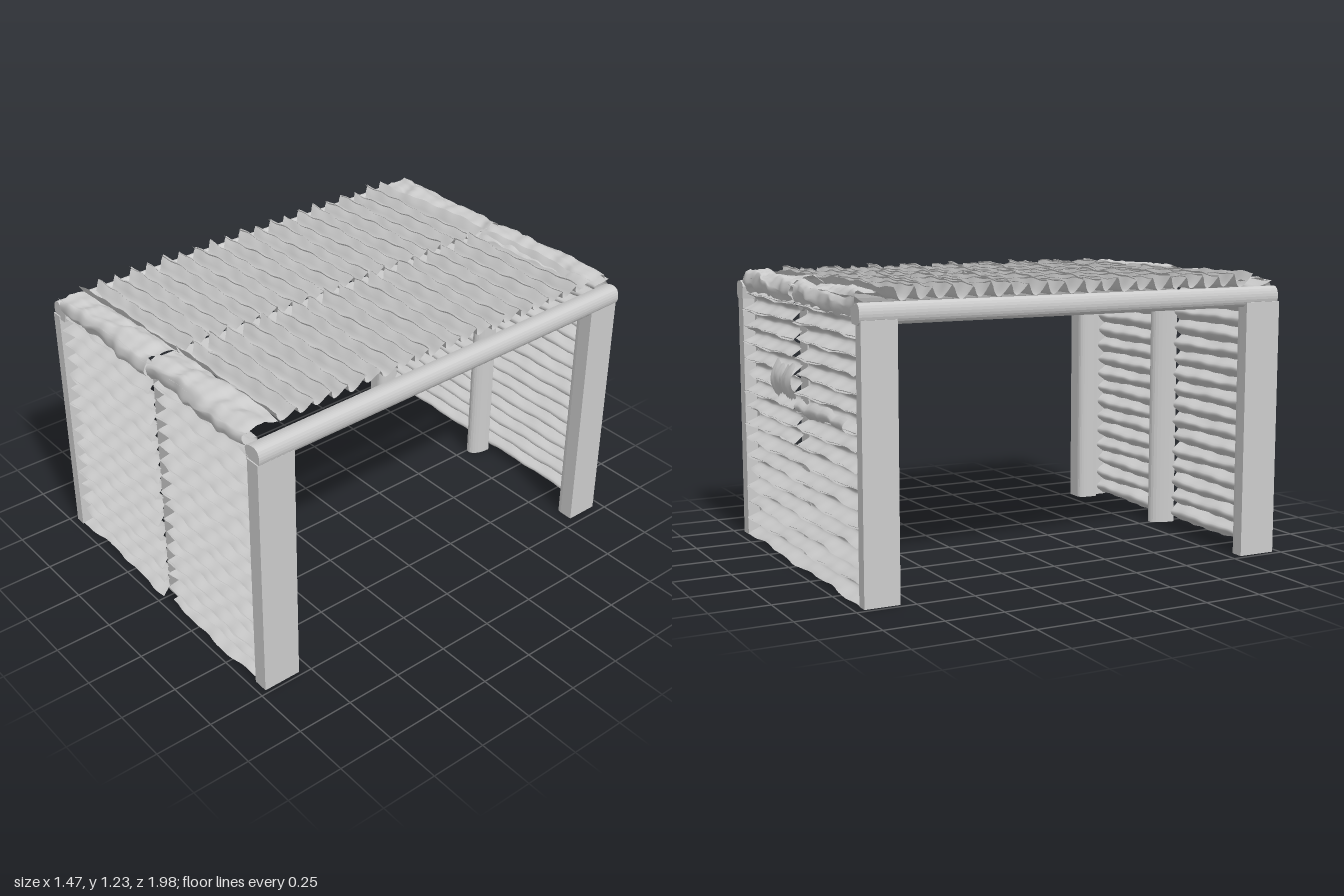
import * as THREE from 'three';

const material = new THREE.MeshStandardMaterial({ color: 0xcccccc, side: THREE.DoubleSide });

// Smooth repeatable wobble in roughly -1..1
const wobble = (u, k) =>
  0.5 * Math.sin(u * 9 + k * 2.7) + 0.3 * Math.sin(u * 23 + k * 5.1) + 0.2 * Math.sin(u * 51 + k * 1.9);

// Grid surface from a function of (a, t), both 0..1
function sheet(fn, na, nt) {
  const pos = [], index = [];
  for (let j = 0; j <= nt; j++) {
    for (let i = 0; i <= na; i++) pos.push(...fn(i / na, j / nt));
  }
  for (let j = 0; j < nt; j++) {
    for (let i = 0; i < na; i++) {
      const p = j * (na + 1) + i, q = p + na + 1;
      index.push(p, p + 1, q, p + 1, q + 1, q);
    }
  }
  const g = new THREE.BufferGeometry();
  g.setAttribute('position', new THREE.Float32BufferAttribute(pos, 3));
  g.setIndex(index);
  g.computeVertexNormals();
  return g;
}

function add(parent, name, geometry) {
  const mesh = new THREE.Mesh(geometry, material);
  mesh.name = name;
  parent.add(mesh);
}

// Panel of hollow slats: scooped troughs meeting in ragged outward ridges
function slatPanel(name, o) {
  const panel = new THREE.Group();
  panel.name = name;
  for (let r = 0; r < o.rows; r++) {
    const k = r + o.seed;
    add(panel, 'slat', sheet((a, t) => {
      const scoop = Math.sin(Math.PI * t ** o.skew);
      const e0 = o.u0 + 0.026 * scoop + 0.008 * wobble(r, o.seed);
      const e1 = o.u1 - 0.026 * scoop + 0.008 * wobble(r, o.seed + 4);
      const u = e0 + (e1 - e0) * a;
      let v = o.v0 + (r + t) * o.pitch + o.tilt * u;
      v += 0.008 * ((1 - t) * wobble(u, k) + t * wobble(u, k + 1));
      // the upper lip hangs a little over the next slat
      if (t === 1) v += 0.006 + 0.006 * wobble(u, k + 9);
      const rag = (1 - t) * wobble(u, k + 3) + t * wobble(u, k + 4);
      const w = (o.depth + 0.012 * rag) * (1 - scoop) + 0.004 * wobble(u, k) * scoop;
      return o.place(u, v, w);
    }, 40, 10));
  }
  return panel;
}

// Corner post: a rounded inner log with a flange reaching past the slats
function cornerPost(sx, sz, inner, out) {
  const back = sz > 0 ? 0.8 : 0.81, face = sz > 0 ? 0.97 : 0.96;
  const X = (x) => x * sx, Y = (z) => -z * sz;
  const s = new THREE.Shape();
  s.moveTo(X(out), Y(face));
  s.lineTo(X(out), Y(back));
  s.lineTo(X(inner), Y(back));
  s.bezierCurveTo(X(inner - 0.03), Y(back), X(inner - 0.04), Y(back + 0.03), X(inner - 0.035), Y(back + 0.095));
  s.lineTo(X(inner), Y(back + 0.095));
  s.lineTo(X(inner), Y(face));
  s.closePath();
  const g = new THREE.ExtrudeGeometry(s, { depth: 1.1, bevelEnabled: false, curveSegments: 8 });
  return g.rotateX(-Math.PI / 2);
}

// Side beam: rounded outer rail with a narrow ledge, slightly skewed along its length
function sideBeam(sx, skew) {
  const inner = sx > 0 ? 0.65 : 0.68;
  const s = new THREE.Shape();
  s.moveTo(sx * 0.65, 1.085);
  s.lineTo(sx * 0.705, 1.08);
  s.bezierCurveTo(sx * 0.73, 1.09, sx * 0.735, 1.13, sx * 0.718, 1.155);
  s.quadraticCurveTo(sx * 0.695, 1.175, sx * inner, 1.155);
  s.lineTo(sx * 0.64, 1.14);
  s.closePath();
  const g = new THREE.ExtrudeGeometry(s, { depth: 1.93, bevelEnabled: false, curveSegments: 8 });
  g.translate(0, 0, -0.965);
  return g.applyMatrix4(new THREE.Matrix4().set(1, 0, skew, 0, 0, 1, 0, 0, 0, 0, 1, 0, 0, 0, 0, 1));
}

// Half-round log standing along y, round side toward -z
function halfLog(length, width, depth) {
  const s = new THREE.Shape();
  s.moveTo(-width / 2, 0);
  s.bezierCurveTo(-width / 2, depth * 1.3, width / 2, depth * 1.3, width / 2, 0);
  s.closePath();
  const g = new THREE.ExtrudeGeometry(s, { depth: length, bevelEnabled: false, curveSegments: 14 });
  return g.rotateX(-Math.PI / 2);
}

// Rough curled bark slab over each end of the roof
function eave(u0, u1, sz, seed) {
  const curve = new THREE.CatmullRomCurve3([
    [0.81, 1.18], [0.86, 1.195], [0.92, 1.2], [0.96, 1.185], [0.972, 1.145], [0.95, 1.105],
  ].map(([z, y]) => new THREE.Vector3(0, y, z)));
  return sheet((a, t) => {
    const c = curve.getPoint(t);
    const u = u0 + (u1 - u0) * a + 0.012 * wobble(t, seed + 2);
    const lift = 0.012 * wobble(u, seed + t * 2) + 0.01 * wobble(u * 1.5 + t * 2, seed + 1);
    return [u, c.y + lift + (u > 0 ? 0.012 : 0), sz * (c.z + 0.018 * wobble(u, seed + 6 + t))];
  }, 48, 16);
}

export function createModel() {
  const model = new THREE.Group();
  model.name = 'shelter';

  // Frame
  const frame = new THREE.Group();
  frame.name = 'frame';
  model.add(frame);
  add(frame, 'leftFrontPost', cornerPost(1, 1, 0.667, 0.733));
  add(frame, 'leftBackPost', cornerPost(1, -1, 0.65, 0.712));
  add(frame, 'rightFrontPost', cornerPost(-1, 1, 0.68, 0.727));
  add(frame, 'rightBackPost', cornerPost(-1, -1, 0.68, 0.73));
  add(frame, 'leftBeam', sideBeam(1, 0.01));
  add(frame, 'rightBeam', sideBeam(-1, 0.004));
  add(frame, 'frontMiddlePost', halfLog(1.11, 0.1, 0.11).translate(0.015, 0, 0.92));
  add(frame, 'backMiddlePost', halfLog(1.11, 0.09, 0.095).rotateY(Math.PI).translate(0.015, 0, -0.908));
  add(frame, 'roofMiddleBeam',
    halfLog(1.84, 0.1, 0.095).rotateX(-Math.PI / 2).translate(0.01, 1.17, 0.92));

  // Walls and roof in halves; the lower back wall runs the full width
  const wall = { v0: 0.005, pitch: 0.0735, depth: 0.055, tilt: 0, skew: 1.3 };
  const front = (u, v, w) => [u, Math.max(v, 0), 0.906 + w];
  const back = (u, v, w) => [u, Math.max(v, 0), -0.904 - w];
  model.add(slatPanel('lowerBackWall', { ...wall, u0: -0.675, u1: 0.655, rows: 7, seed: 60, place: back }));
  const halves = [
    { label: 'right', u0: -0.675, u1: -0.008, roof: { u0: -0.67, u1: 0.005, tilt: 0.05 }, seed: 0 },
    { label: 'left', u0: 0.035, u1: 0.67, roof: { u0: 0.005, u1: 0.653, tilt: 0.025 }, seed: 31 },
  ];
  for (const { label, u0, u1, roof, seed } of halves) {
    model.add(slatPanel(label + 'FrontWall', { ...wall, u0, u1, rows: 16, seed, place: front }));
    model.add(slatPanel(label + 'UpperBackWall', {
      ...wall, u0: Math.min(u0, 0.012), u1: Math.min(u1, 0.655), v0: wall.v0 + 7 * wall.pitch,
      rows: 9, seed: seed + 67, place: back,
    }));
    model.add(slatPanel(label + 'Roof', {
      ...roof, rows: 20, v0: -0.83, pitch: 0.083, depth: 0.057, skew: 1, seed: seed + 90,
      place: (u, v, w) => [u, 1.162 + w, -v],
    }));
    for (const sz of [-1, 1]) {
      add(model, label + (sz > 0 ? 'FrontEave' : 'BackEave'),
        eave(u0 > 0 ? 0.01 : -0.655, u0 > 0 ? 0.65 : -0.015, sz, seed + sz * 3));
    }
  }

  // Torn bark hanging off the back wall: x, y, length, height
  const tears = [[0.11, 0.78, 0.22, 0.13], [-0.32, 0.69, 0.55, 0.06]];
  tears.forEach(([x, y, length, height], i) => {
    add(model, 'tornBark', sheet((a, t) => [
      x + (a - 0.5) * length,
      y + (t - 0.5) * height * (1 + 0.3 * wobble(a, i)) + 0.01 * wobble(a, i + 5),
      -0.957 - 0.025 * Math.sin(Math.PI * t) - 0.008 * wobble(a, i + 2),
    ], 20, 6));
  });
  return model;
}
